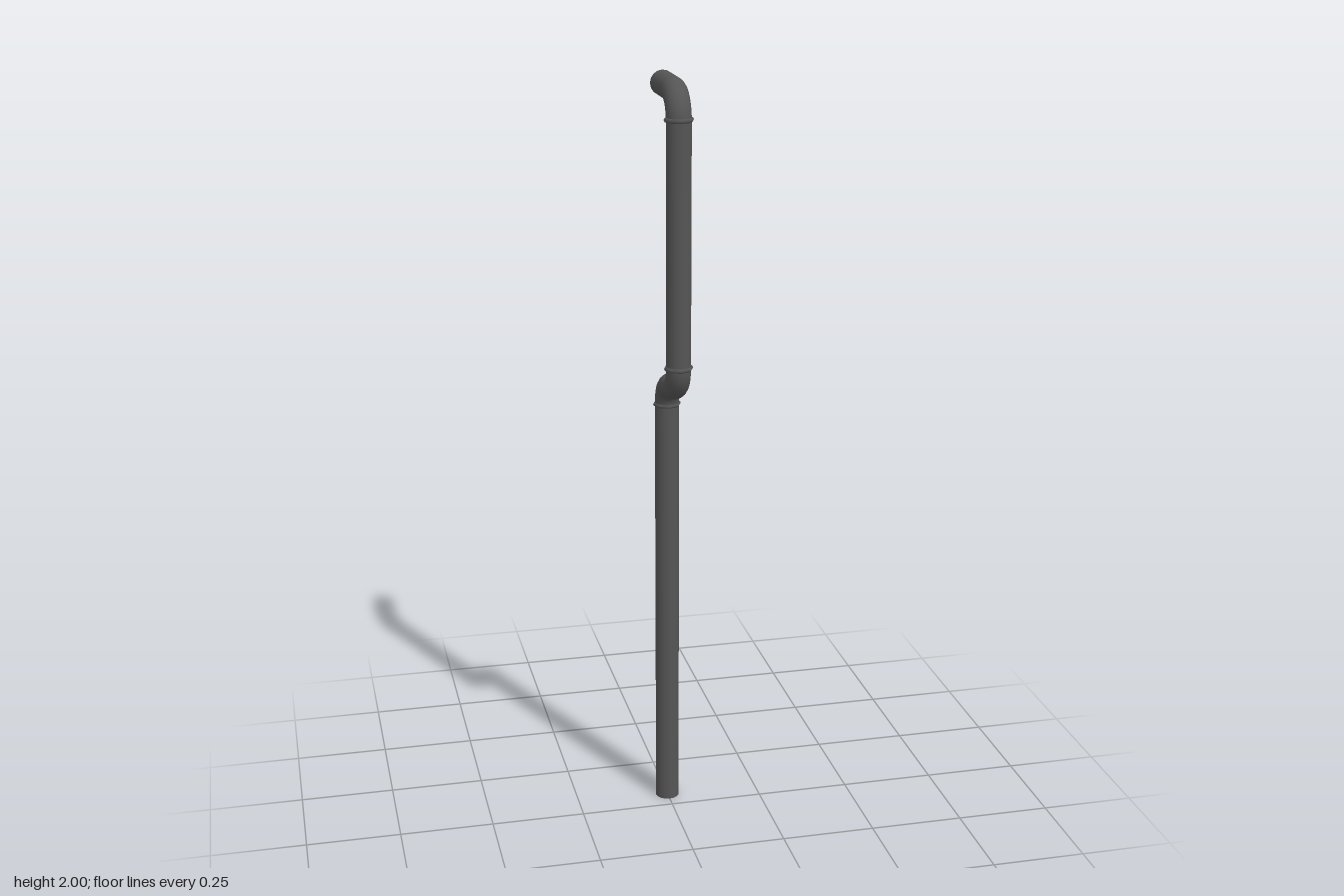
import * as THREE from 'three';

export function createModel() {
  const group = new THREE.Group();
  const material = new THREE.MeshStandardMaterial({ color: 0x555555, side: THREE.DoubleSide });
  const radius = 0.032, bend = 0.067;
  const frontZ = 0.071, backZ = -0.063, midZ = 0.004;
  const point = (y, z) => new THREE.Vector3(0, y, z);

  function add(name, geometry) {
    const mesh = new THREE.Mesh(geometry, material);
    mesh.name = name;
    group.add(mesh);
    return mesh;
  }

  // Straight open pipe between two points
  function straight(name, a, b) {
    add(name, new THREE.TubeGeometry(new THREE.LineCurve3(a, b), 1, radius, 16));
  }

  // Quarter-circle elbow from a to b, with both tangents meeting at the corner
  function elbow(name, a, corner, b) {
    const k = 0.5523;
    const curve = new THREE.CubicBezierCurve3(a, a.clone().lerp(corner, k), b.clone().lerp(corner, k), b);
    add(name, new THREE.TubeGeometry(curve, 10, radius, 16));
  }

  // Eight-sided bead around a joint
  function collar(name, y, z, tube) {
    const ring = add(name, new THREE.TorusGeometry(radius, tube, 6, 8));
    ring.rotation.x = Math.PI / 2;
    ring.position.set(0, y, z);
  }

  const lowY = 1.145, midY = lowY + bend, highY = midY + bend;
  const topY = 2 - radius, topBendY = topY - bend;

  // Vertical runs and top outlet
  straight('lowerPipe', point(0, backZ), point(lowY, backZ));
  straight('upperPipe', point(highY, frontZ), point(topBendY, frontZ));
  straight('topOutlet', point(topY, midZ), point(topY, -0.111));

  // S-shaped offset and top elbow
  elbow('offsetLowerElbow', point(lowY, backZ), point(midY, backZ), point(midY, midZ));
  elbow('offsetUpperElbow', point(midY, midZ), point(midY, frontZ), point(highY, frontZ));
  elbow('topElbow', point(topBendY, frontZ), point(topY, frontZ), point(topY, midZ));

  // Joint collars
  collar('lowerCollar', lowY, backZ, 0.005);
  collar('middleCollar', highY, frontZ, 0.006);
  collar('topCollar', topBendY + 0.003, frontZ, 0.006);

  return group;
}
